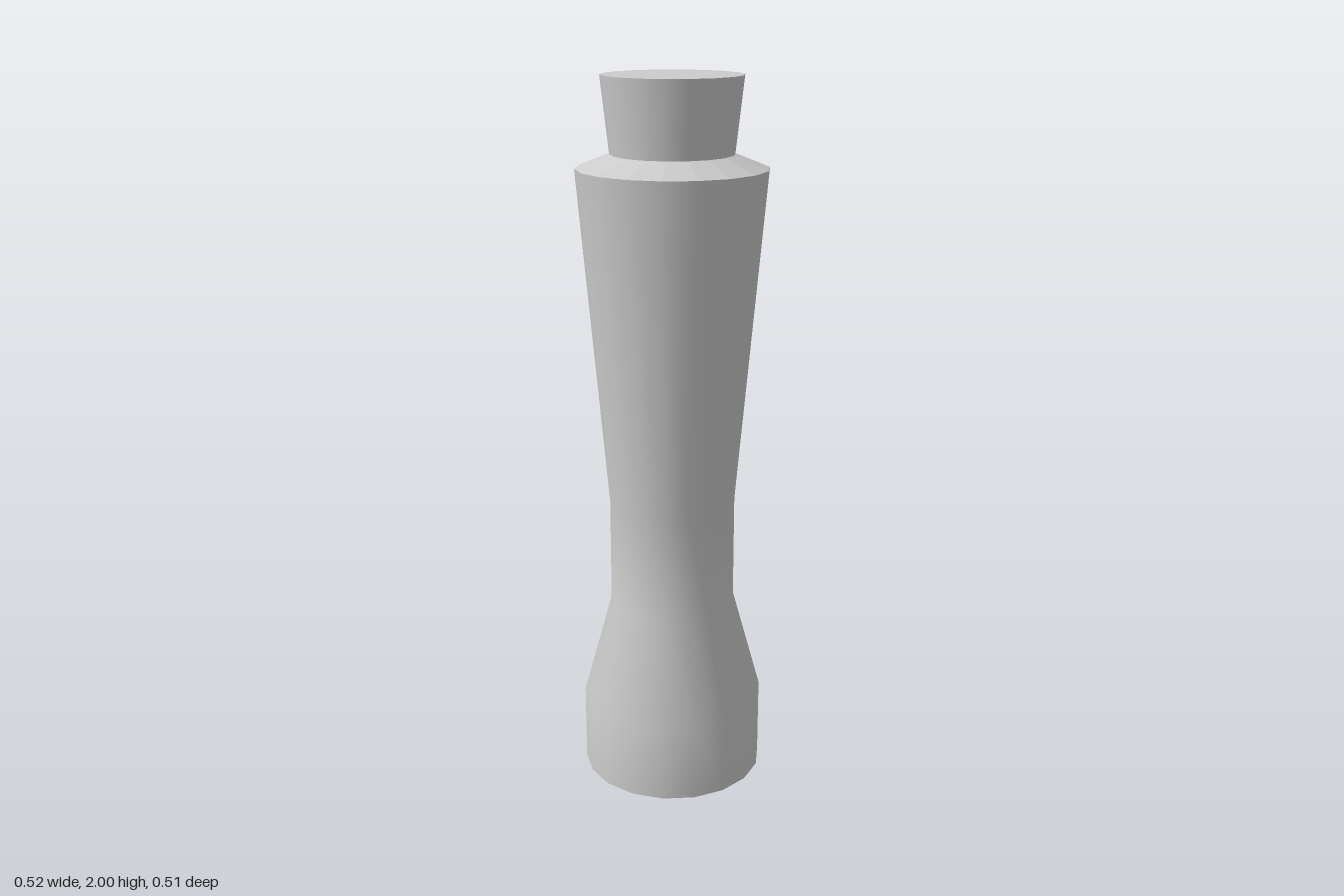
import * as THREE from 'three';

const SIDES = 18;

// Turned section from [radius, height] pairs, with a corner on the x axis.
function turned(name, profile, flatShading = false) {
  const points = profile.map(([r, y]) => new THREE.Vector2(r, y));
  const geometry = new THREE.LatheGeometry(points, SIDES, Math.PI / 2);
  const material = new THREE.MeshStandardMaterial({ color: 0xcccccc, flatShading });
  const mesh = new THREE.Mesh(geometry, material);
  mesh.name = name;
  return mesh;
}

export function createModel() {
  const group = new THREE.Group();
  group.name = 'turnedHandle';

  group.add(
    // Flat underside
    turned('baseCap', [[0, 0], [0.26, 0]]),
    // Straight foot, narrow waist and flared grip in one smooth skin
    turned('body', [[0.26, 0], [0.26, 0.225], [0.178, 0.525], [0.178, 0.82], [0.26, 1.76]]),
    // Sloping shoulder with crisp facets
    turned('shoulder', [[0.26, 1.76], [0.167, 1.797]], true),
    // Stopper that widens upward, and its flat top
    turned('stopper', [[0.167, 1.797], [0.19, 2]]),
    turned('stopperTop', [[0.19, 2], [0, 2]]),
  );
  return group;
}
